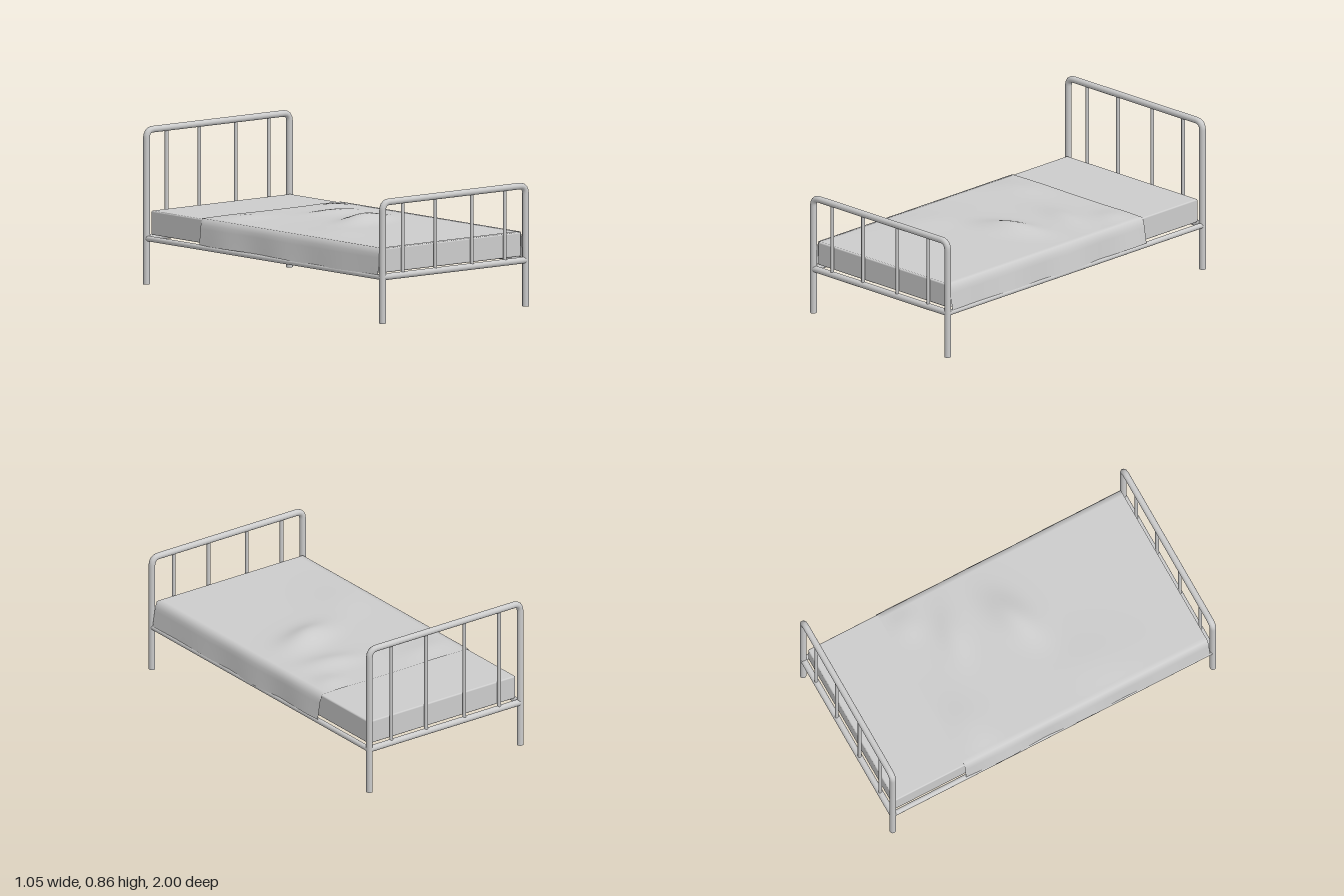
import * as THREE from 'three';
import { RoundedBoxGeometry } from 'three/addons/geometries/RoundedBoxGeometry.js';

const LEG_X = 0.506, END_Z = 0.982, TUBE_R = 0.018, RAIL_Y = 0.252;
const material = new THREE.MeshStandardMaterial({ color: 0xcccccc });
const cloth = new THREE.MeshStandardMaterial({ color: 0xcccccc, side: THREE.DoubleSide });
const V = (x, y, z) => new THREE.Vector3(x, y, z);

function part(name, geometry, parent, mat = material) {
  const mesh = new THREE.Mesh(geometry, mat);
  mesh.name = name;
  parent.add(mesh);
  return mesh;
}

// Straight round bar between two points
function bar(name, a, b, radius, parent) {
  const mesh = part(name, new THREE.CylinderGeometry(radius, radius, a.distanceTo(b), 16), parent);
  mesh.position.copy(a).add(b).multiplyScalar(0.5);
  mesh.quaternion.setFromUnitVectors(V(0, 1, 0), b.clone().sub(a).normalize());
}

// Bent tube hoop with lower rail and upright spindles
function endFrame(name, z, top) {
  const group = new THREE.Group();
  group.name = name;
  const c = 0.045;
  const path = new THREE.CurvePath();
  path.add(new THREE.LineCurve3(V(-LEG_X, 0, z), V(-LEG_X, top - c, z)));
  path.add(new THREE.QuadraticBezierCurve3(V(-LEG_X, top - c, z), V(-LEG_X, top, z), V(-LEG_X + c, top, z)));
  path.add(new THREE.LineCurve3(V(-LEG_X + c, top, z), V(LEG_X - c, top, z)));
  path.add(new THREE.QuadraticBezierCurve3(V(LEG_X - c, top, z), V(LEG_X, top, z), V(LEG_X, top - c, z)));
  path.add(new THREE.LineCurve3(V(LEG_X, top - c, z), V(LEG_X, 0, z)));
  part('hoop', new THREE.TubeGeometry(path, 160, TUBE_R, 16), group);
  for (const s of [-1, 1]) {
    const foot = part('footCap', new THREE.CircleGeometry(TUBE_R, 16), group);
    foot.rotation.x = Math.PI / 2;
    foot.position.set(s * LEG_X, 0, z);
  }
  bar('lowerRail', V(-LEG_X, RAIL_Y, z), V(LEG_X, RAIL_Y, z), TUBE_R, group);
  for (const x of [-0.364, -0.132, 0.126, 0.359]) {
    bar('spindle', V(x, RAIL_Y, z), V(x, top, z), 0.01, group);
  }
  return group;
}

// Soft folds in the blanket: x, z, height, width in x, width in z, slant
const FOLDS = [
  [0.12, 0.1, 0.041, 0.17, 0.1, 0.25],
  [0.2, -0.23, 0.02, 0.16, 0.08, -0.15],
  [-0.3, -0.4, 0.013, 0.16, 0.1, 0.1],
  [-0.3, 0.35, 0.009, 0.15, 0.2, 0.4],
  [0.36, -0.43, 0.012, 0.09, 0.08, 0],
];
function foldHeight(x, z) {
  let h = 0;
  for (const [fx, fz, height, wx, wz, slant] of FOLDS) {
    const dx = x - fx, dz = z - fz + slant * dx;
    h += height * Math.exp(-((dx / wx) ** 2) - (dz / wz) ** 2);
  }
  return h * Math.min(1, (0.5 - Math.abs(x)) / 0.08);
}

// Blanket: cross-sections over the mattress with both sides hanging down
function blanketGeometry() {
  const across = 48, along = 70, side = 6;
  const geometry = new THREE.PlaneGeometry(1, 1, across, along);
  const pos = geometry.attributes.position;
  for (let j = 0; j <= along; j++) {
    const z = -0.535 + 1.493 * j / along;
    for (let i = 0; i <= across; i++) {
      const s = i < across / 2 ? -1 : 1;
      const fromEdge = Math.min(i, across - i);
      let x, y;
      if (fromEdge < side) {
        const drop = 1 - fromEdge / side;
        const wave = 0.006 * Math.sin(z * 13 + s) * (1 - Math.max(0, z));
        x = s * (0.499 + (0.02 + wave) * drop);
        y = 0.396 - drop * (0.135 + 0.004 * Math.sin(z * 5 + s));
      } else {
        x = 0.49 * ((i - side) / (across - 2 * side) * 2 - 1);
        y = 0.406 + foldHeight(x, z);
      }
      pos.setXYZ(j * (across + 1) + i, x, y, z);
    }
  }
  geometry.computeVertexNormals();
  return geometry;
}

export function createModel() {
  const bed = new THREE.Group();
  bed.name = 'bed';
  bed.add(endFrame('headboard', -END_Z, 0.84), endFrame('footboard', END_Z, 0.658));
  for (const s of [-1, 1]) {
    bar('sideRail', V(s * LEG_X, 0.25, -END_Z), V(s * LEG_X, 0.25, END_Z), 0.015, bed);
  }
  const mattress = part('mattress', new RoundedBoxGeometry(0.986, 0.132, 1.92, 3, 0.008), bed);
  mattress.position.y = 0.336;
  part('blanket', blanketGeometry(), bed, cloth);
  return bed;
}
